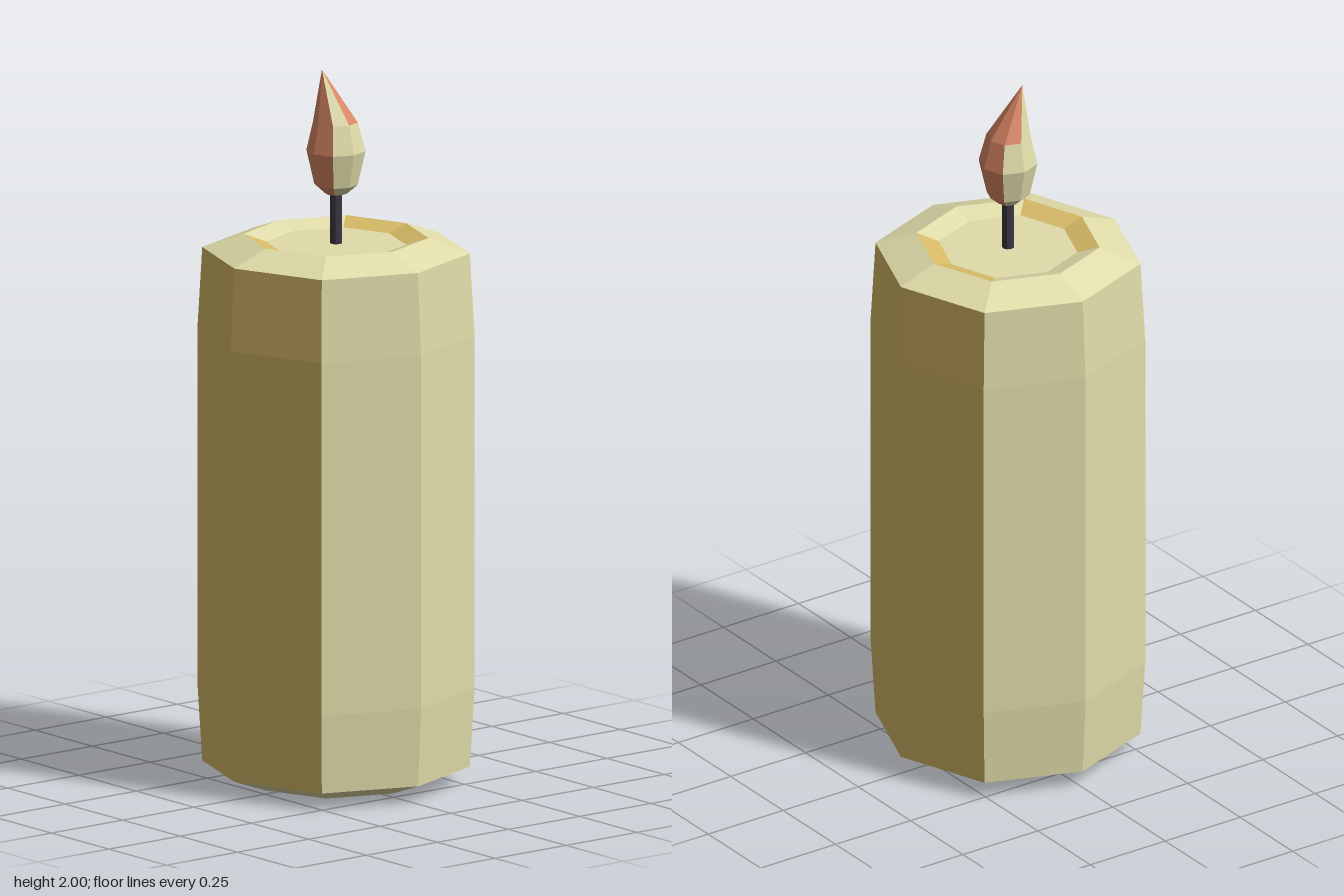
import * as THREE from 'three';

const SIDES = 8;

const flat = (name, color) => {
  const m = new THREE.MeshStandardMaterial({ color, flatShading: true });
  m.name = name;
  return m;
};

// Corner of an eight-sided ring; diagonal corners sit slightly further out.
function corner(ring, i) {
  const a = (i % SIDES) * Math.PI * 2 / SIDES;
  const r = ring.r * (i % 2 ? 1.03 : 1);
  return [(ring.x || 0) + r * Math.cos(a), ring.y, (ring.z || 0) + r * Math.sin(a)];
}

// Faceted shell through a stack of rings. Each ring's "paint" says which faces
// of the band above it take the second material.
function shell(name, rings, materials) {
  const lists = [[], []];
  for (let k = 0; k < rings.length - 1; k++) {
    const lo = rings[k], hi = rings[k + 1];
    for (let i = 0; i < SIDES; i++) {
      const a = corner(lo, i), b = corner(lo, i + 1);
      const c = corner(hi, i + 1), d = corner(hi, i);
      const mid = (i + 0.5) * Math.PI * 2 / SIDES;
      const out = lists[lo.paint && lo.paint(Math.cos(mid), Math.sin(mid)) ? 1 : 0];
      if (hi.r > 0) out.push(...a, ...d, ...c);
      if (lo.r > 0) out.push(...a, ...c, ...b);
    }
  }
  const geo = new THREE.BufferGeometry();
  geo.setAttribute('position', new THREE.Float32BufferAttribute(lists.flat(), 3));
  const n0 = lists[0].length / 3;
  geo.addGroup(0, n0, 0);
  geo.addGroup(n0, lists[1].length / 3, 1);
  geo.computeVertexNormals();
  const mesh = new THREE.Mesh(geo, materials);
  mesh.name = name;
  return mesh;
}

export function createModel() {
  const cream = flat('cream wax', 0xe0dca9);
  const gold = flat('golden wax', 0xdabd68);
  const orange = flat('flame orange', 0xdb8865);
  const dark = flat('wick charcoal', 0x3c3644);

  const sides = (x, z) => Math.abs(x) > Math.abs(z);
  const leaning = (x, z) => x > 0 || sides(x, z);

  const candle = new THREE.Group();
  candle.name = 'candle';

  // Wax body: base, bevels, slightly bowed walls and the shallow melted pool
  candle.add(shell('waxBody', [
    { r: 0, y: 0 },
    { r: 0.04, y: 0 },
    { r: 0.247, y: 0.01 },
    { r: 0.357, y: 0.05, paint: sides },
    { r: 0.37, y: 0.27, paint: sides },
    { r: 0.37, y: 1.26, paint: sides },
    { r: 0.357, y: 1.49 },
    { r: 0.247, y: 1.53, paint: sides },
    { r: 0.187, y: 1.51 },
    { r: 0, y: 1.51 },
  ], [cream, gold]));

  // Wick
  const wick = new THREE.Mesh(new THREE.CylinderGeometry(0.017, 0.017, 0.17, 8), dark);
  wick.name = 'wick';
  wick.position.y = 1.585;
  candle.add(wick);

  // Flame, its tip bent to one side
  candle.add(shell('flame', [
    { r: 0, y: 1.645, paint: sides },
    { r: 0.03, y: 1.65, paint: sides },
    { r: 0.058, y: 1.675, paint: sides },
    { r: 0.079, y: 1.77, paint: sides },
    { r: 0.06, y: 1.85, x: -0.002, paint: leaning },
    { r: 0, y: 2, x: -0.038, z: -0.014 },
  ], [cream, orange]));

  return candle;
}
